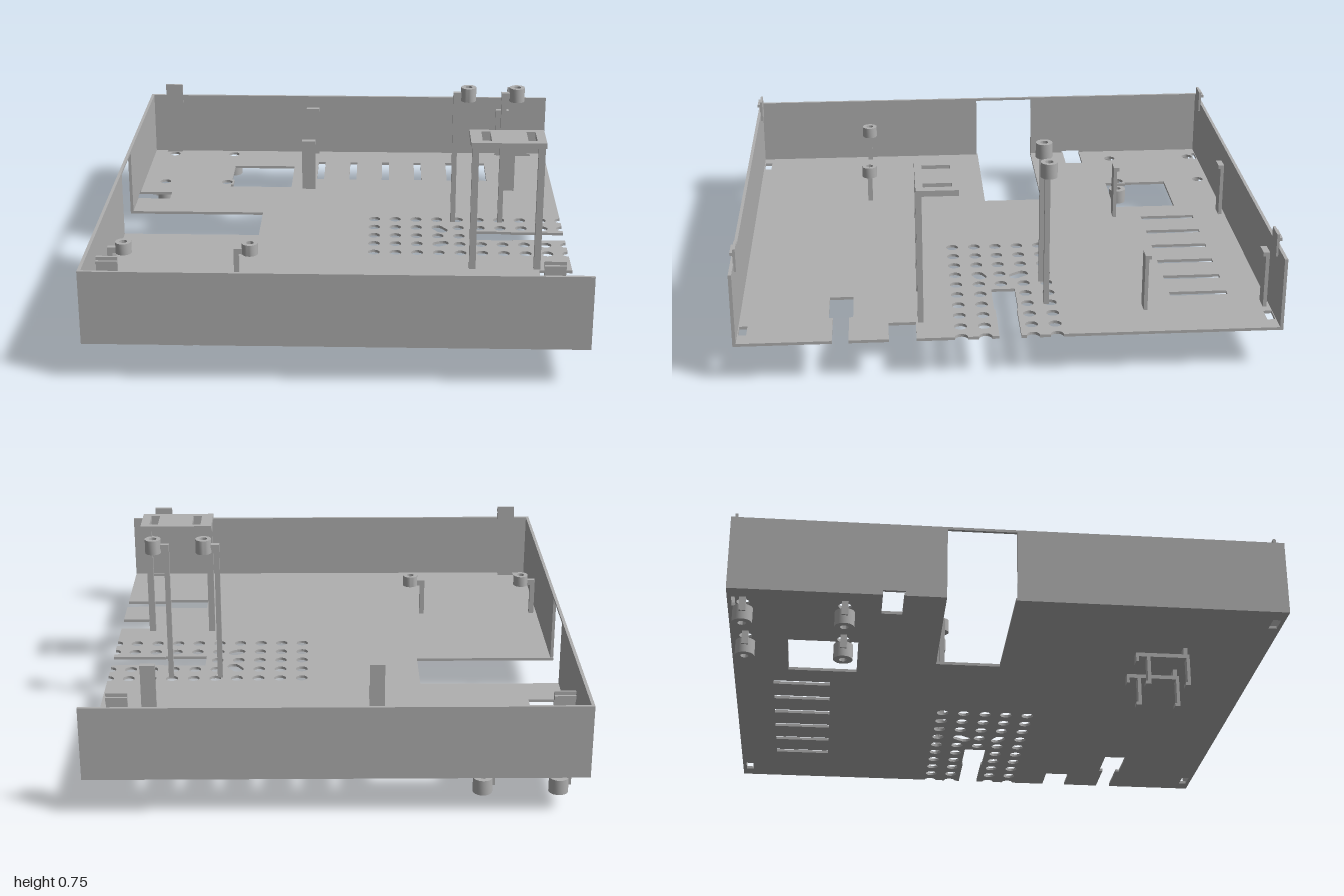
import * as THREE from 'three';
import { toCreasedNormals } from 'three/addons/utils/BufferGeometryUtils.js';

const grey = new THREE.MeshStandardMaterial({ color: 0xb0b0b0 });
grey.name = 'plain grey';

const FLOOR_TOP = 0.163, BASE = 0.152, RIM = 0.435, T = 0.012;

export function createModel() {
  const model = new THREE.Group();
  model.name = 'equipmentTray';

  const add = (name, geometry, parent = model) => {
    const mesh = new THREE.Mesh(geometry, grey);
    mesh.name = name;
    parent.add(mesh);
    return mesh;
  };
  const group = (name) => {
    const g = new THREE.Group();
    g.name = name;
    model.add(g);
    return g;
  };
  // box given by its limits
  const box = (name, x0, x1, y0, y1, z0, z1, parent) =>
    add(name, new THREE.BoxGeometry(x1 - x0, y1 - y0, z1 - z0)
      .translate((x0 + x1) / 2, (y0 + y1) / 2, (z0 + z1) / 2), parent);

  const polygon = (pts, Type = THREE.Shape) => new Type(pts.map(([a, b]) => new THREE.Vector2(a, b)));
  const rect = (x0, x1, z0, z1) => polygon([[x0, z0], [x1, z0], [x1, z1], [x0, z1]], THREE.Path);
  const circle = (x, z, r, Type = THREE.Path) => new Type().absarc(x, z, r, 0, Math.PI * 2);
  const capsule = (x0, z0, x1, z1, r) => {
    const a = Math.atan2(z1 - z0, x1 - x0), q = Math.PI / 2;
    const p = new THREE.Path();
    p.absarc(x1, z1, r, a - q, a + q);
    p.absarc(x0, z0, r, a + q, a + 3 * q);
    p.closePath();
    return p;
  };
  // horizontal slab from an x-z outline
  const slab = (shape, top, depth) => toCreasedNormals(
    new THREE.ExtrudeGeometry(shape, { depth, bevelEnabled: false, curveSegments: 10 })
      .rotateX(Math.PI / 2).translate(0, top, 0), 0.7);

  // Floor outline: half holes and notches on the open side, cutouts on the closed side
  const R = 0.024, rows = [-0.17, -0.083, 0.005, 0.09, 0.178];
  const floor = new THREE.Shape();
  const line = (pts) => pts.forEach(([x, z]) => floor.lineTo(x, z));
  const halfHole = (z) => {
    floor.lineTo(0.91, z - R);
    floor.absarc(0.91, z, R, -Math.PI / 2, -Math.PI * 1.5, true);
  };
  floor.moveTo(-0.91, -1);
  line([[0.91, -1]]);
  halfHole(rows[0]);
  halfHole(rows[1]);
  line([[0.91, -0.04], [0.695, -0.04], [0.695, -0.045], [0.525, -0.045],
    [0.525, 0.045], [0.695, 0.045], [0.695, 0.04], [0.91, 0.04]]);
  halfHole(rows[3]);
  halfHole(rows[4]);
  line([[0.91, 0.34], [0.78, 0.34], [0.78, 0.44], [0.91, 0.44],
    [0.91, 0.585], [0.725, 0.585], [0.725, 0.57], [0.555, 0.57],
    [0.555, 0.66], [0.725, 0.66], [0.725, 0.645], [0.91, 0.645],
    [0.91, 1], [-0.91, 1],
    [-0.91, 0.015], [-0.345, 0.015], [-0.345, -0.23], [-0.91, -0.23],
    [-0.91, -0.38], [-0.76, -0.38], [-0.76, -0.455], [-0.91, -0.455]]);
  floor.closePath();

  // Perforated field
  rows.forEach((z, r) => {
    const count = r === 2 ? 5 : 9;
    for (let c = 0; c < count; c++) {
      const x = 0.13 + 0.087 * c;
      if (c === 3 && r === 1) floor.holes.push(capsule(x, z, 0.41, -0.055, R));
      else if (c === 3 && r === 3) floor.holes.push(capsule(x, z, 0.41, 0.08, R));
      else floor.holes.push(circle(x, z, R));
    }
  });
  // Vent slots, square opening and corner slots
  for (let i = 0; i < 6; i++) {
    const x = -0.116 + 0.1452 * i;
    floor.holes.push(rect(x - 0.016, x + 0.016, -0.85, -0.63));
  }
  floor.holes.push(polygon([[-0.51, -0.79], [-0.24, -0.79], [-0.24, -0.53], [-0.51, -0.53],
    [-0.51, -0.555], [-0.5, -0.555], [-0.5, -0.615], [-0.51, -0.615]], THREE.Path));
  for (const s of [-1, 1]) {
    const x0 = s * 0.81 - 0.035;
    floor.holes.push(rect(x0, x0 + 0.07, 0.955, 0.985));
    floor.holes.push(rect(x0, x0 + 0.07, -0.985, s < 0 ? -0.972 : -0.955));
  }
  const feet = [[-0.805, -0.944], [-0.53, -0.944], [-0.805, -0.585], [-0.53, -0.585]];
  feet.forEach(([x, z]) => floor.holes.push(circle(x, z, R)));
  add('floor', slab(floor, FLOOR_TOP, FLOOR_TOP - BASE));

  // Walls
  box('frontWall', -0.91, 0.91, BASE, RIM, 1 - T, 1);
  box('backWall', -0.91, 0.91, BASE, RIM, -1, -1 + T);
  const side = polygon([[-1, BASE], [-0.455, BASE], [-0.455, 0.17], [-0.375, 0.17], [-0.375, BASE],
    [-0.23, BASE], [-0.23, 0.425], [0.02, 0.425], [0.02, BASE], [1, BASE], [1, RIM], [-1, RIM]]);
  add('sideWall', new THREE.ExtrudeGeometry(side, { depth: T, bevelEnabled: false })
    .rotateY(-Math.PI / 2).translate(-0.91 + T, 0, 0));

  // Snap tabs on the front and back walls
  for (const s of [-1, 1]) for (const x of [-0.803, 0.77]) {
    const tab = group('snapTab');
    const z = s * 0.985;
    box('tabBlade', x - 0.038, x + 0.038, 0.4, 0.488, z - 0.005, z + 0.005, tab);
    box('tabRidge', x - 0.038, x + 0.038, 0.463, 0.475, z - 0.008 + s * 0.007, z + 0.008 + s * 0.007, tab);
  }

  // Board clips with hooked tops facing each other
  for (const x of [-0.162, 0.71]) for (const [z, dir] of [[-0.968, 1], [-0.518, -1]]) {
    const clip = group('boardClip');
    box('clipPost', x - 0.029, x + 0.029, FLOOR_TOP, 0.385, z - 0.007, z + 0.007, clip);
    box('clipHook', x - 0.029, x + 0.029, 0.37, 0.385, z - 0.007 + dir * 0.01, z + 0.007 + dir * 0.01, clip);
  }

  // Screw sleeve
  const sleeve = (name, x, z, top, height, r, parent) => {
    const ring = circle(x, z, r, THREE.Shape);
    ring.holes.push(circle(x, z, 0.015));
    add(name, slab(ring, top, height), parent);
  };

  // Standoffs: slim post, short arm and sleeve
  for (const [x, z, top, h] of [[0.51, -0.153, 0.755, 0.057], [0.707, -0.153, 0.755, 0.057],
    [-0.823, 0.507, 0.34, 0.045], [-0.34, 0.507, 0.34, 0.045]]) {
    const g = group('standoff');
    const armTop = top - 0.022;
    box('standoffPost', x - 0.062, x - 0.042, FLOOR_TOP, armTop, z - 0.01, z + 0.01, g);
    box('standoffArm', x - 0.044, x - 0.02, armTop - 0.022, armTop, z - 0.01, z + 0.01, g);
    sleeve('standoffSleeve', x, z, top, h, 0.031, g);
  }

  // Feet hung under the floor
  for (const [x, z] of feet) {
    const g = group('foot');
    box('footHanger', x - 0.043, x - 0.028, 0.1, BASE, z - 0.012, z + 0.012, g);
    sleeve('footSleeve', x, z, 0.128, 0.058, 0.036, g);
  }

  // Raised platform on two posts
  const platform = group('platform');
  const top = polygon([[0.5, 0.178], [0.79, 0.178], [0.79, 0.332], [0.5, 0.332]]);
  for (const x of [0.545, 0.72]) top.holes.push(rect(x, x + 0.035, 0.2, 0.305));
  add('platformTop', slab(top, 0.688, 0.022), platform);
  for (const x of [0.518, 0.772])
    box('platformPost', x - 0.013, x + 0.013, FLOOR_TOP, 0.67, 0.311, 0.332, platform);

  // Brackets under the floor
  for (const x of [-0.563, -0.367]) {
    const g = group('underBracket');
    const part = (name, y0, y1, z0, z1) => box(name, x - 0.018, x + 0.018, y0, y1, z0, z1, g);
    part('bracketHanger', 0.11, BASE, 0.68, 0.695);
    part('bracketArm', 0.11, 0.125, 0.5, 0.702);
    part('bracketLeg', 0, 0.112, 0.69, 0.702);
    part('bracketLeg', 0, 0.112, 0.541, 0.554);
    part('bracketHook', 0.09, 0.112, 0.5, 0.51);
    for (const z of [0.69, 0.541]) part('bracketToe', 0, 0.012, z - 0.008, z + 0.004);
  }

  return model;
}
